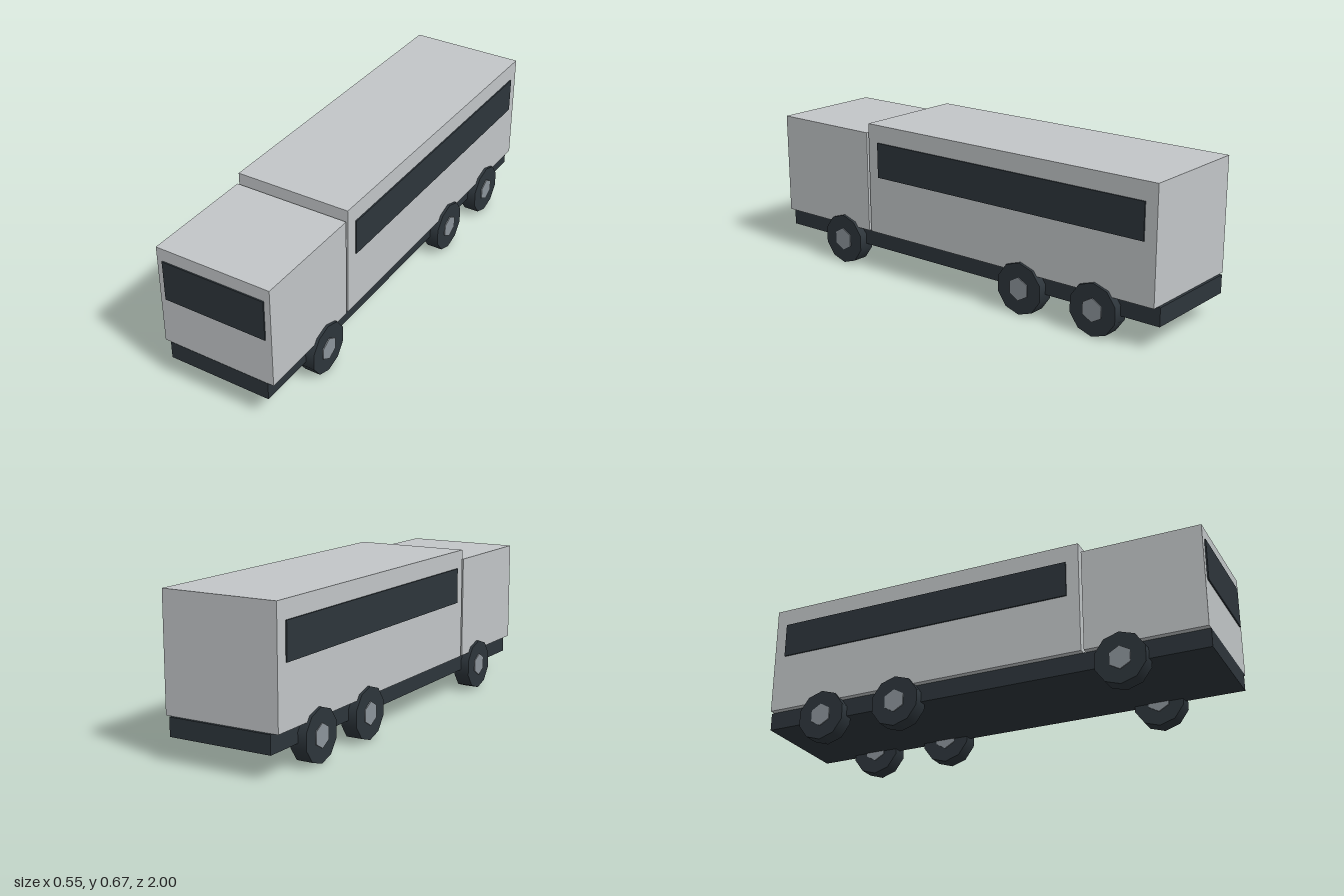
import * as THREE from 'three';

const material = (name, color) => {
  const m = new THREE.MeshStandardMaterial({ color });
  m.name = name;
  return m;
};

export function createModel() {
  const truck = new THREE.Group();
  truck.name = 'truck';
  const paint = material('light grey paint', 0xc2c6c8);
  const dark = material('dark slate', 0x2d353b);
  const metal = material('hub grey', 0x8c949b);

  // Box given by its extents on each axis
  const box = (name, mat, [x0, x1], [y0, y1], [z0, z1]) => {
    const mesh = new THREE.Mesh(new THREE.BoxGeometry(x1 - x0, y1 - y0, z1 - z0), mat);
    mesh.position.set((x0 + x1) / 2, (y0 + y1) / 2, (z0 + z1) / 2);
    mesh.name = name;
    truck.add(mesh);
  };

  // Chassis, cab and long cargo body with a narrow gap between them
  box('chassis', dark, [-0.23, 0.23], [0.101, 0.179], [-1, 0.995]);
  box('cab', paint, [-0.256, 0.256], [0.179, 0.622], [0.485, 0.994]);
  box('cargoBody', paint, [-0.256, 0.256], [0.179, 0.665], [-0.988, 0.473]);

  // Windows
  box('windscreen', dark, [-0.23, 0.23], [0.39, 0.567], [0.992, 1]);
  box('leftWindow', dark, [0.254, 0.262], [0.434, 0.588], [-0.935, 0.418]);
  box('rightWindow', dark, [-0.262, -0.254], [0.434, 0.588], [-0.935, 0.418]);

  // Faceted wheels: ten-sided tyre with a hexagonal hub, points upwards
  const disc = (radius, width, sides) =>
    new THREE.CylinderGeometry(radius, radius, width, sides, 1, false, Math.PI / 2).rotateZ(Math.PI / 2);
  const tyreGeometry = disc(0.111, 0.07, 10);
  const hubGeometry = disc(0.05, 0.079, 6);
  for (const z of [0.637, -0.36, -0.719]) {
    for (const side of [1, -1]) {
      const wheel = new THREE.Group();
      wheel.name = (side > 0 ? 'left' : 'right') + (z > 0 ? 'FrontWheel' : 'RearWheel');
      const tyre = new THREE.Mesh(tyreGeometry, dark);
      tyre.name = 'tyre';
      const hub = new THREE.Mesh(hubGeometry, metal);
      hub.name = 'hub';
      wheel.add(tyre, hub);
      wheel.position.set(side * 0.233, 0.111, z);
      truck.add(wheel);
    }
  }
  return truck;
}
